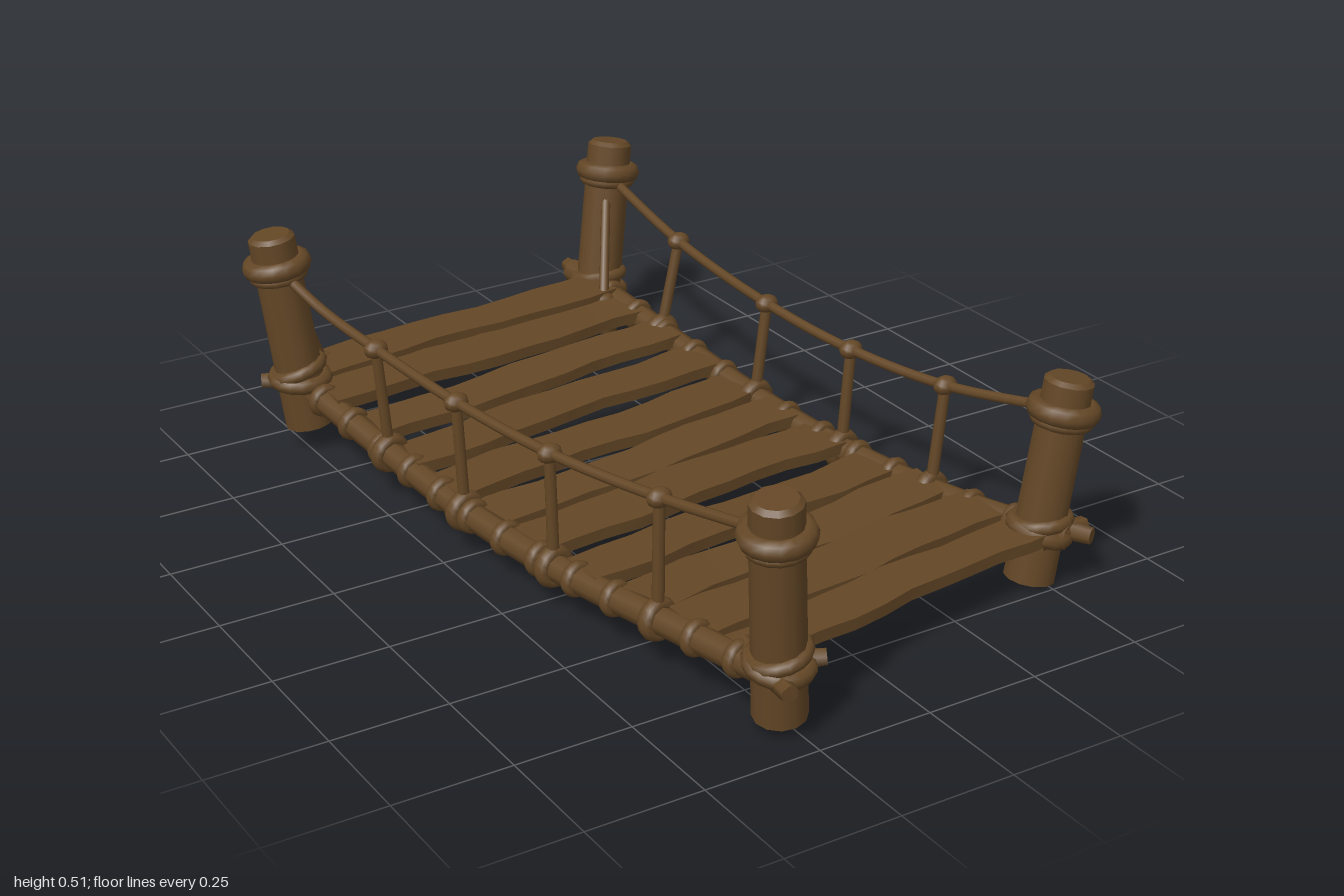
import * as THREE from 'three';

const V = (x, y, z) => new THREE.Vector3(x, y, z);
const UP = V(0, 1, 0);

export function createModel() {
  const model = new THREE.Group();
  const wood = new THREE.MeshStandardMaterial({ color: 0x644726 });
  wood.name = 'brown wood';

  const add = (geo, name) => {
    const mesh = new THREE.Mesh(geo, wood);
    mesh.name = name;
    model.add(mesh);
    return mesh;
  };
  // Round bar between two points
  const bar = (a, b, r0, r1, name, sides = 10) => {
    const mesh = add(new THREE.CylinderGeometry(r1, r0, a.distanceTo(b), sides), name);
    mesh.position.copy(a).lerp(b, 0.5);
    mesh.quaternion.setFromUnitVectors(UP, b.clone().sub(a).normalize());
    return mesh;
  };
  // Rope loop around an axis
  const ring = (p, axis, r, tube, name, stretch = 1) => {
    const mesh = add(new THREE.TorusGeometry(r, tube, 8, 16), name);
    mesh.position.copy(p);
    mesh.quaternion.setFromUnitVectors(V(0, 0, 1), axis.clone().normalize());
    mesh.scale.z = stretch;
    return mesh;
  };
  const rope = (curve, r, name) => add(new THREE.TubeGeometry(curve, 40, r, 8), name);
  const knot = (p, r, name) => {
    const mesh = add(new THREE.SphereGeometry(r, 10, 8), name);
    mesh.position.copy(p);
    mesh.scale.set(1.25, 0.95, 1);
    return mesh;
  };
  // Point on a curve at a given z (z grows along the curve)
  const atZ = (curve, z) => {
    let lo = 0, hi = 1;
    for (let i = 0; i < 24; i++) {
      const mid = (lo + hi) / 2;
      if (curve.getPoint(mid).z < z) lo = mid; else hi = mid;
    }
    return { p: curve.getPoint(lo), t: curve.getTangent(lo) };
  };

  // Four leaning posts: bottom, top
  const posts = [
    [V(-0.49, 0.055, -0.66), V(-0.545, 0.5, -0.685)],
    [V(0.375, 0.01, -0.865), V(0.445, 0.465, -0.905)],
    [V(-0.265, 0.027, 0.89), V(-0.31, 0.495, 0.93)],
    [V(0.485, 0.008, 0.69), V(0.548, 0.435, 0.7)],
  ];
  for (const [a, b] of posts) {
    const axis = b.clone().sub(a);
    const at = (t) => a.clone().lerp(b, t);
    bar(a, b, 0.054, 0.052, 'post', 12);
    bar(b, b.clone().addScaledVector(axis, 0.02), 0.052, 0.042, 'postCap', 12);
    // Upper rope collar and loose lower lashings
    ring(at(0.86), axis, 0.057, 0.02, 'postCollar', 1.1);
    ring(at(0.81), axis, 0.053, 0.013, 'postCollarLower');
    ring(at(0.25), axis.clone().add(V(0.06, 0, 0.05)), 0.055, 0.018, 'postLashing');
    ring(at(0.3), axis.clone().add(V(-0.08, 0, -0.05)), 0.053, 0.015, 'postLashing');
  }

  // Sagging side beams
  const beams = [
    new THREE.CatmullRomCurve3([V(-0.505, 0.15, -0.76), V(-0.485, 0.135, -0.6), V(-0.45, 0.102, -0.3),
      V(-0.425, 0.087, 0), V(-0.39, 0.09, 0.3), V(-0.335, 0.11, 0.65), V(-0.285, 0.13, 0.96)]),
    new THREE.CatmullRomCurve3([V(0.365, 0.137, -0.95), V(0.37, 0.128, -0.75), V(0.385, 0.1, -0.4),
      V(0.405, 0.078, -0.1), V(0.44, 0.069, 0.2), V(0.475, 0.088, 0.5), V(0.53, 0.115, 0.76)]),
  ];
  for (const c of beams) {
    rope(c, 0.029, 'sideBeam');
    for (let i = 0; i < 13; i++) {
      const t = 0.1 + i * 0.068;
      ring(c.getPointAt(t), c.getTangentAt(t), 0.028, 0.011, 'beamLashing', 1.3);
    }
  }
  // Wedge pegs sticking out past the posts
  const pegs = [
    [V(0.37, 0.137, -0.8), V(0.375, 0.135, -0.995)],
    [V(0.49, 0.115, 0.62), V(0.575, 0.11, 0.77)],
    [V(-0.44, 0.15, -0.66), V(-0.575, 0.152, -0.72)],
    [V(-0.29, 0.135, 0.8), V(-0.31, 0.13, 0.985)],
    [V(0.47, 0.115, 0.73), V(0.595, 0.11, 0.72)],
    [V(-0.3, 0.13, 0.86), V(-0.19, 0.145, 0.93)],
  ];
  for (const [a, b] of pegs) bar(a, b, 0.026, 0.018, 'peg', 6);

  // Deck planks with wavy edges, by their z at the left end
  const leftZ = [-0.7, -0.58, -0.42, -0.265, -0.11, 0.04, 0.185, 0.36, 0.525, 0.68, 0.82];
  leftZ.forEach((z, i) => {
    const A = atZ(beams[0], z).p;
    const B = atZ(beams[1], z - 0.105 - i * 0.0035).p;
    const half = i < 2 ? 0.064 : 0.06 + 0.006 * Math.sin(i * 2.3);
    const geo = new THREE.BoxGeometry(1, 1, 1, 10, 1, 1);
    const pos = geo.attributes.position;
    for (let k = 0; k < pos.count; k++) {
      const u = pos.getX(k) + 0.5, s = pos.getZ(k) * 2;
      const p = A.clone().lerp(B, u);
      const wave = 0.007 * Math.sin(u * 9 + i * 1.7 + s) + 0.004 * Math.sin(u * 21 + i * 3 + s * 2);
      const lift = 0.012 + 0.004 * Math.sin(i * 2.1 + u * 3);
      pos.setXYZ(k, p.x, p.y + lift + pos.getY(k) * 0.026 + s * 0.003 * Math.cos(i * 1.9),
        p.z + s * half + wave * s);
    }
    geo.computeVertexNormals();
    add(geo, 'plank');
  });

  // Handrail ropes, hangers and knots
  const rails = [
    new THREE.CatmullRomCurve3([V(-0.535, 0.425, -0.67), V(-0.505, 0.378, -0.52), V(-0.475, 0.353, -0.33),
      V(-0.44, 0.338, -0.03), V(-0.4, 0.341, 0.27), V(-0.345, 0.363, 0.57), V(-0.305, 0.42, 0.9)]),
    new THREE.CatmullRomCurve3([V(0.435, 0.385, -0.88), V(0.425, 0.333, -0.56), V(0.425, 0.308, -0.19),
      V(0.445, 0.302, 0.1), V(0.485, 0.316, 0.38), V(0.535, 0.37, 0.68)]),
  ];
  const hangers = [[-0.33, -0.035, 0.275, 0.59], [-0.56, -0.19, 0.105, 0.385]];
  rails.forEach((rail, side) => {
    rope(rail, 0.011, 'handrail');
    for (const z of hangers[side]) {
      const top = atZ(rail, z).p, foot = atZ(beams[side], z);
      bar(foot.p, top, 0.013, 0.012, 'hanger', 8);
      knot(top, 0.022, 'railKnot');
      ring(foot.p, foot.t, 0.032, 0.014, 'hangerKnot', 1.3);
    }
  });

  // Slanted ropes from the back posts to the deck
  const braces = [
    [V(-0.52, 0.41, -0.68), V(-0.41, 0.15, -0.75)],
    [V(0.42, 0.385, -0.88), V(0.33, 0.135, -0.745)],
  ];
  for (const [a, b] of braces) {
    bar(b, a, 0.012, 0.011, 'braceRope', 8);
    knot(b, 0.024, 'braceKnot');
  }
  return model;
}
